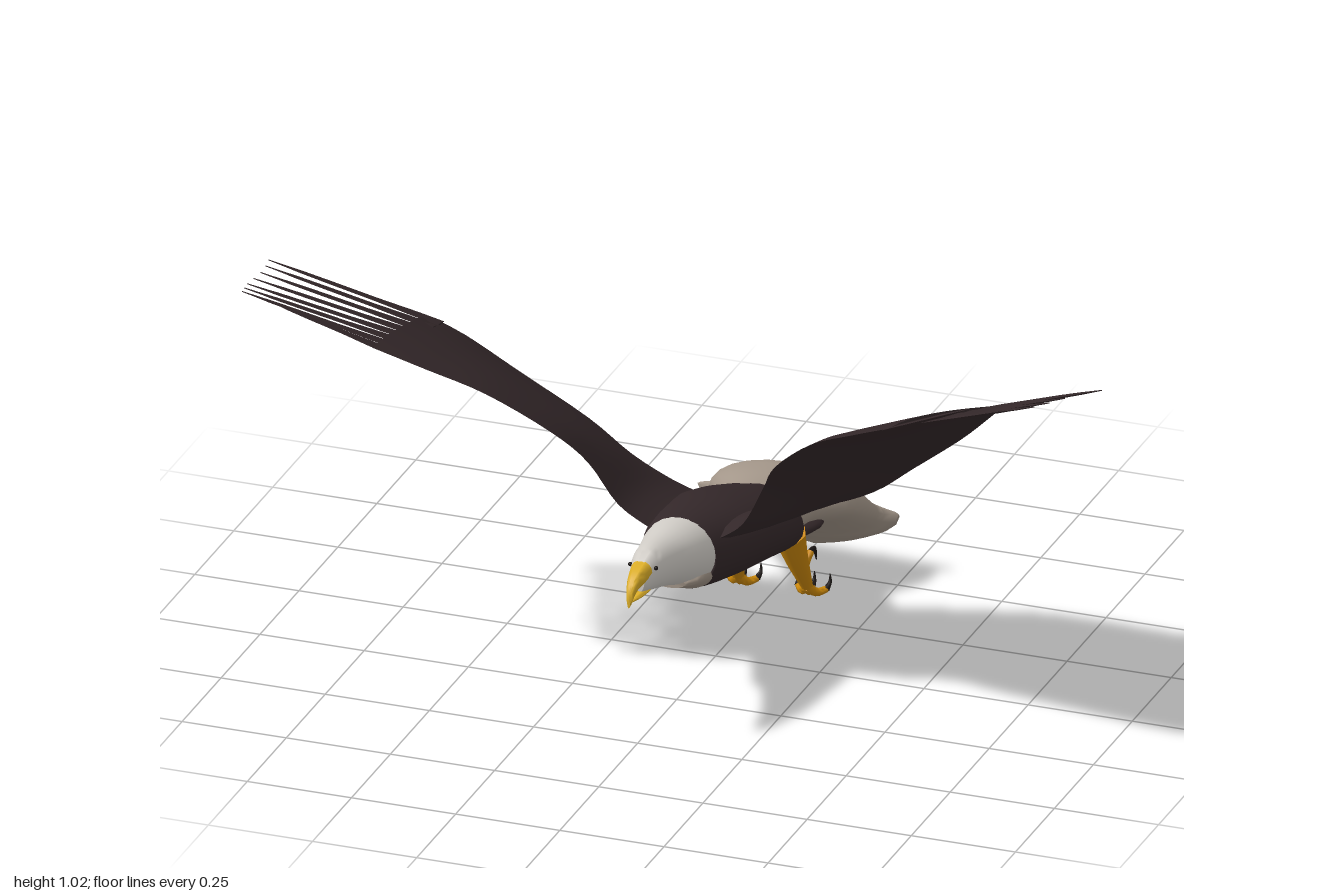
import * as THREE from 'three';
import { toCreasedNormals } from 'three/addons/utils/BufferGeometryUtils.js';

const V = (x, y, z) => new THREE.Vector3(x, y, z);
const paint = (name, color) => Object.assign(new THREE.MeshStandardMaterial({ color }), { name });

// Skin a list of closed rings, cap both ends and face everything outward
function loft(rings, crease = 0.9) {
  const n = rings[0].length, pts = rings.flat(), tris = [];
  for (let i = 0; i + 1 < rings.length; i++)
    for (let j = 0; j < n; j++) {
      const a = i * n + j, b = i * n + (j + 1) % n;
      tris.push([a, b, b + n], [a, b + n, a + n]);
    }
  const cap = (ring, base, flip) => {
    const c = pts.length;
    pts.push(ring.reduce((s, p) => s.add(p), V(0, 0, 0)).divideScalar(n));
    for (let j = 0; j < n; j++) {
      const a = base + j, b = base + (j + 1) % n;
      tris.push(flip ? [c, b, a] : [c, a, b]);
    }
  };
  cap(rings[0], 0, true);
  cap(rings[rings.length - 1], (rings.length - 1) * n, false);
  let volume = 0;
  for (const [a, b, c] of tris) volume += pts[a].dot(V(0, 0, 0).crossVectors(pts[b], pts[c]));
  if (volume < 0) tris.forEach(t => t.reverse());
  const geo = new THREE.BufferGeometry().setFromPoints(pts);
  geo.setIndex(tris.flat());
  return toCreasedNormals(geo, crease);
}

// Resample rows of numbers with a smooth curve through each column
function smoothRows(rows, steps) {
  const out = [];
  for (let i = 0; i + 1 < rows.length; i++)
    for (let k = 0; k < steps; k++) {
      const t = k / steps, at = j => rows[Math.min(Math.max(j, 0), rows.length - 1)];
      out.push(rows[i].map((_, c) => THREE.MathUtils.lerp(at(i)[c], at(i + 1)[c], t) +
        t * (1 - t) * ((1 - t) * ((at(i + 1)[c] - at(i - 1)[c]) / 2 - at(i + 1)[c] + at(i)[c]) -
        t * ((at(i + 2)[c] - at(i)[c]) / 2 - at(i + 1)[c] + at(i)[c]))));
    }
  out.push(rows[rows.length - 1]);
  return out;
}

// Rows of [z, top, bottom, half width, edge height] become oval rings
function hull(rows, steps = 3, sides = 24) {
  return loft(smoothRows(rows, steps).map(([z, top, bot, w, edge = (top + bot) / 2]) =>
    Array.from({ length: sides }, (_, j) => {
      const a = j / sides * Math.PI * 2, s = Math.sin(a);
      return V(Math.cos(a) * w, edge + s * (s > 0 ? top - edge : edge - bot), z);
    })));
}

// Tube along a curve with a radius that runs from r0 to r1
function taper(points, r0, r1, segs = 8, sides = 8) {
  const curve = new THREE.CatmullRomCurve3(points), f = curve.computeFrenetFrames(segs);
  return loft(f.normals.map((nrm, i) => Array.from({ length: sides }, (_, j) => {
    const a = j / sides * Math.PI * 2, r = r0 + (r1 - r0) * i / segs;
    return curve.getPointAt(i / segs).addScaledVector(nrm, Math.cos(a) * r)
      .addScaledVector(f.binormals[i], Math.sin(a) * r);
  })));
}

// Wing stations: leading edge x, y, z, trailing edge x, y, z, half thickness
const WING = [
  [0.08, 0.39, 0.2, 0.08, 0.3, -0.19, 0.022],
  [0.15, 0.45, 0.225, 0.18, 0.305, -0.23, 0.024],
  [0.21, 0.56, 0.26, 0.29, 0.35, -0.242, 0.022],
  [0.27, 0.66, 0.34, 0.39, 0.43, -0.228, 0.018],
  [0.39, 0.775, 0.435, 0.53, 0.555, -0.155, 0.014],
  [0.51, 0.845, 0.5, 0.63, 0.66, -0.08, 0.01],
  [0.62, 0.9, 0.545, 0.695, 0.735, 0.0, 0.006],
];
// Flight feather tips from front to back
const TIPS = [
  [0.84, 1.02, 0.632], [0.915, 1.012, 0.592], [0.93, 0.995, 0.538], [0.945, 0.978, 0.48],
  [0.955, 0.96, 0.412], [0.965, 0.942, 0.34], [0.98, 0.925, 0.268], [1.0, 0.905, 0.195],
];

function wingGeometry(s) {
  const rows = smoothRows(WING, 4), chordSteps = 10;
  return loft(rows.map(([ax, ay, az, bx, by, bz, h], i) => {
    const lead = V(ax, ay, az), trail = V(bx, by, bz);
    const p = rows[Math.max(i - 1, 0)], q = rows[Math.min(i + 1, rows.length - 1)];
    const span = V(q[0] + q[3] - p[0] - p[3], q[1] + q[4] - p[1] - p[4], q[2] + q[5] - p[2] - p[5]);
    const up = V(0, 0, 0).crossVectors(lead.clone().sub(trail), span).normalize();
    if (up.y < 0) up.negate();
    const ring = [];
    for (let k = 0; k < 2 * chordSteps; k++) {
      const t = k <= chordSteps ? k / chordSteps : 2 - k / chordSteps;
      const bulge = Math.sin(Math.PI * Math.pow(t, 0.7));
      const off = 0.008 * bulge + (k <= chordSteps ? 1 : -1) * h * bulge;
      const v = lead.clone().lerp(trail, t).addScaledVector(up, off);
      v.x *= s;
      ring.push(v);
    }
    return ring;
  }));
}

function featherGeometry(i, s) {
  const end = WING[WING.length - 1], lead = V(...end.slice(0, 3)), trail = V(...end.slice(3, 6));
  const base = lead.clone().lerp(trail, (i + 0.5) / 8), tip = V(...TIPS[i]);
  const across = trail.clone().sub(lead).normalize(), along = tip.clone().sub(base);
  const up = V(0, 0, 0).crossVectors(across, along).normalize();
  // [fraction of length, half width, half thickness]
  const shape = [[-0.12, 0.033, 0.003], [0.05, 0.033, 0.004], [0.3, 0.023, 0.004],
    [0.6, 0.021, 0.004], [0.8, 0.017, 0.003], [1, 0.001, 0.001]];
  return loft(shape.map(([t, w, h]) => [[w, 0], [0, h], [-w, 0], [0, -h]].map(([a, b]) => {
    const v = base.clone().addScaledVector(along, t).addScaledVector(across, a).addScaledVector(up, b);
    v.x *= s;
    return v;
  })), 0.4);
}

export function createModel() {
  const model = new THREE.Group();
  const dark = paint('dark brown plumage', 0x34282a);
  const white = paint('white plumage', 0xd2cec8);
  const tan = paint('tan plumage', 0xa4978a);
  const yellow = paint('beak yellow', 0xdcae28);
  const orange = paint('leg orange', 0xc98608);
  const black = paint('claw black', 0x1c1715);
  const add = (name, geo, mat, parent = model) => {
    const mesh = new THREE.Mesh(geo, mat);
    mesh.name = name;
    parent.add(mesh);
    return mesh;
  };

  // Body, head and neck
  add('body', hull([
    [0.23, 0.443, 0.27, 0.088], [0.2, 0.44, 0.258, 0.1], [0.1, 0.425, 0.235, 0.125],
    [0, 0.405, 0.218, 0.14], [-0.1, 0.375, 0.2, 0.15], [-0.2, 0.34, 0.17, 0.138],
    [-0.26, 0.315, 0.145, 0.105], [-0.29, 0.303, 0.155, 0.09]]), dark);
  add('head', hull([
    [0.5, 0.425, 0.375, 0.016], [0.485, 0.438, 0.367, 0.024], [0.46, 0.451, 0.361, 0.033],
    [0.42, 0.457, 0.35, 0.044], [0.35, 0.452, 0.328, 0.058], [0.28, 0.448, 0.3, 0.076],
    [0.22, 0.442, 0.275, 0.088]]), white);
  add('throatPatch', hull([
    [0.305, 0.33, 0.303, 0.04], [0.28, 0.34, 0.294, 0.062], [0.226, 0.36, 0.268, 0.078]]), tan);

  // Hooked upper beak and lower beak
  const beak = new THREE.Group();
  beak.name = 'beak';
  model.add(beak);
  add('upperBeak', hull([
    [0.475, 0.443, 0.392, 0.026], [0.5, 0.438, 0.391, 0.021], [0.525, 0.428, 0.39, 0.016],
    [0.543, 0.413, 0.378, 0.011], [0.553, 0.398, 0.364, 0.007], [0.558, 0.382, 0.36, 0.003]], 2, 16), yellow, beak);
  add('lowerBeak', hull([
    [0.47, 0.381, 0.363, 0.02], [0.51, 0.378, 0.364, 0.014], [0.54, 0.373, 0.367, 0.004]], 2, 12), yellow, beak);

  // Tail fan with a dark underside patch and spot
  add('tail', hull([
    [-0.265, 0.306, 0.155, 0.088, 0.23], [-0.33, 0.3, 0.178, 0.115, 0.235], [-0.4, 0.295, 0.16, 0.165, 0.22],
    [-0.47, 0.28, 0.115, 0.188, 0.19], [-0.515, 0.21, 0.088, 0.212, 0.165], [-0.54, 0.163, 0.07, 0.24, 0.153],
    [-0.6, 0.07, 0.032, 0.12, 0.06], [-0.635, 0.013, 0.007, 0.01, 0.01]]), tan);
  add('underTailPatch', hull([
    [-0.29, 0.22, 0.15, 0.085], [-0.35, 0.225, 0.166, 0.125], [-0.4, 0.215, 0.157, 0.1],
    [-0.42, 0.17, 0.148, 0.04]]), dark);
  const spot = add('tailSpot', new THREE.CylinderGeometry(0.012, 0.012, 0.006, 10), dark);
  spot.position.set(0, 0.251, -0.492);
  spot.rotation.x = -1;

  for (const s of [1, -1]) {
    const side = s > 0 ? 'left' : 'right';

    // Eye
    const eye = add(side + 'Eye', new THREE.SphereGeometry(0.005, 10, 8), black);
    eye.position.set(s * 0.031, 0.425, 0.465);

    // Wing with separated flight feathers
    const wing = new THREE.Group();
    wing.name = side + 'Wing';
    model.add(wing);
    add('wingSurface', wingGeometry(s), dark, wing);
    TIPS.forEach((_, i) => add('flightFeather', featherGeometry(i, s), dark, wing));

    // Leg with three gripping toes and a hind toe, each ending in a claw
    const leg = new THREE.Group();
    leg.name = side + 'Leg';
    model.add(leg);
    add('shank', taper([V(s * 0.07, 0.19, -0.29), V(s * 0.075, 0.12, -0.32), V(s * 0.083, 0.025, -0.37)],
      0.038, 0.013), orange, leg);
    for (const spread of [-1, 0, 1]) {
      const x = k => s * (0.083 + spread * 0.034 * k);
      add('toe', taper([V(x(0), 0.03, -0.365), V(x(0.5), 0.012, -0.38), V(x(1), 0.014, -0.4)], 0.012, 0.008), orange, leg);
      add('claw', taper([V(x(1), 0.014, -0.398), V(x(1.1), 0.026, -0.412), V(x(1.1), 0.047, -0.413)], 0.008, 0.001), black, leg);
    }
    add('hindToe', taper([V(s * 0.08, 0.06, -0.35), V(s * 0.085, 0.095, -0.352), V(s * 0.09, 0.115, -0.372)],
      0.012, 0.008), orange, leg);
    add('hindClaw', taper([V(s * 0.09, 0.114, -0.37), V(s * 0.09, 0.114, -0.392), V(s * 0.09, 0.08, -0.406)],
      0.008, 0.001), black, leg);
  }
  return model;
}
